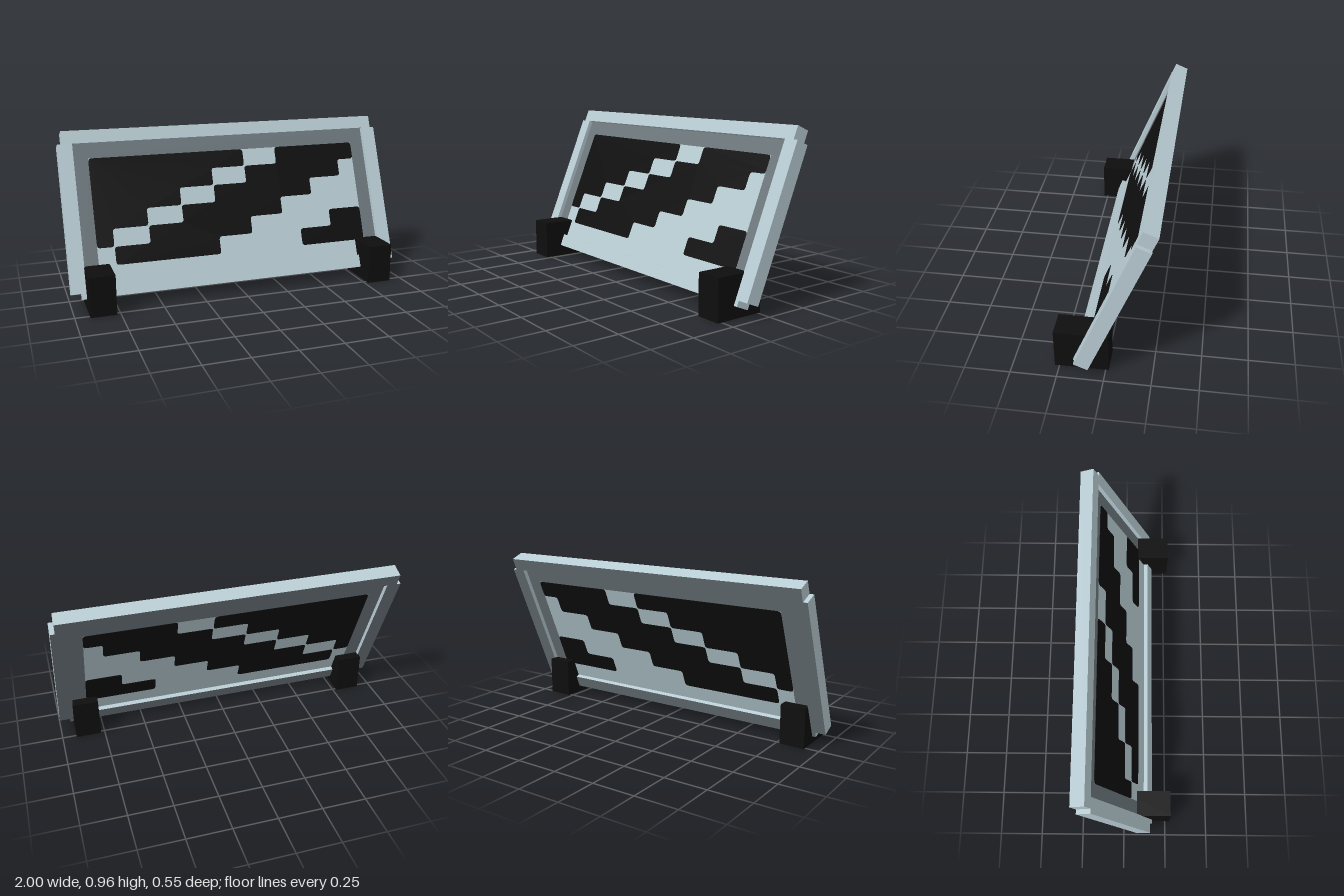
import * as THREE from 'three';

const mat = (name, color) => new THREE.MeshStandardMaterial({ name, color });

// Closed outline with slightly rounded corners
function roundedShape(points, r) {
  const p = points.map(([x, y]) => new THREE.Vector2(x, y));
  const shape = new THREE.Shape();
  p.forEach((c, i) => {
    const prev = p[(i + p.length - 1) % p.length], next = p[(i + 1) % p.length];
    const a = c.clone().add(prev.clone().sub(c).setLength(r));
    const b = c.clone().add(next.clone().sub(c).setLength(r));
    if (i) shape.lineTo(a.x, a.y); else shape.moveTo(a.x, a.y);
    shape.quadraticCurveTo(c.x, c.y, b.x, b.y);
  });
  shape.closePath();
  return shape;
}

export function createModel() {
  const light = mat('paleBlueGrey', 0xb8ccd3);
  const grey = mat('slateGrey', 0x6d777c);
  const black = mat('black', 0x0e0e0e);

  const model = new THREE.Group();
  const board = new THREE.Group();
  board.name = 'tiltedBoard';
  board.position.set(0, 0.497, -0.05);
  board.rotation.x = THREE.MathUtils.degToRad(-22.4);
  model.add(board);

  const box = (parent, name, x0, x1, y0, y1, z0, z1, material) => {
    const mesh = new THREE.Mesh(new THREE.BoxGeometry(x1 - x0, y1 - y0, z1 - z0), material);
    mesh.name = name;
    mesh.position.set((x0 + x1) / 2, (y0 + y1) / 2, (z0 + z1) / 2);
    parent.add(mesh);
  };

  // Frame bars: pale with a grey rear face
  const T = 0.041, inner = 0.403, outer = 0.4785;
  const frame = [light, light, light, light, light, grey];
  box(board, 'topBar', -0.975, 0.975, inner, outer, -T, T, frame);
  box(board, 'bottomBar', -0.94, 0.94, -outer, -inner, -T, T, frame);
  box(board, 'rightBar', -1, -0.916, -0.446, inner, -T, T, frame);
  box(board, 'leftBar', 0.916, 1, -0.446, inner, -T, T, frame);

  // Recessed panel with a grey border on three sides
  const P = 0.016, E = 0.832, top = 0.316, row = 0.1037;
  box(board, 'panel', -E, E, -inner, top, -P, P, light);
  box(board, 'borderTop', -0.916, 0.916, top, inner, -P, P, grey);
  box(board, 'borderRight', -0.916, -E, -inner, top, -P, P, grey);
  box(board, 'borderLeft', E, 0.916, -inner, top, -P, P, grey);

  // Stepped black stripes showing on both faces
  const y = (n) => top - n * row;
  const step = 0.2085;
  const stairs = (x, from, to) => {
    const pts = [];
    for (let n = from; n < to; n++) pts.push([x - (n - from) * step, y(n)], [x - (n - from) * step, y(n + 1)]);
    return pts;
  };
  const upper = [[-E, y(0)], ...stairs(0.1, 0, 5), [-E, y(5)]];
  const middle = [
    [E, y(0)], [E, y(1)], ...stairs(0.725, 1, 5).slice(0, -2),
    [0.1, y(4)], [0.1, y(5)], [-0.11, y(5)], [-0.11, y(6)],
    ...stairs(0.31, 0, 6).reverse(),
  ];
  const lower = [[E, y(4)], [0.62, y(4)], [0.62, y(5)], [0.415, y(5)], [0.415, y(6)], [E, y(6)]];
  Object.entries({ upperStripe: upper, middleStripe: middle, lowerStripe: lower }).forEach(([name, pts]) => {
    const geo = new THREE.ExtrudeGeometry(roundedShape(pts, 0.018), {
      depth: 2 * P + 0.004, bevelEnabled: false, curveSegments: 3,
    });
    geo.translate(0, 0, -P - 0.002);
    const mesh = new THREE.Mesh(geo, black);
    mesh.name = name;
    board.add(mesh);
  });

  // Block feet
  box(model, 'rightFoot', -0.918, -0.772, 0, 0.23, -0.016, 0.275, black);
  box(model, 'leftFoot', 0.772, 0.918, 0, 0.23, -0.016, 0.275, black);
  return model;
}
